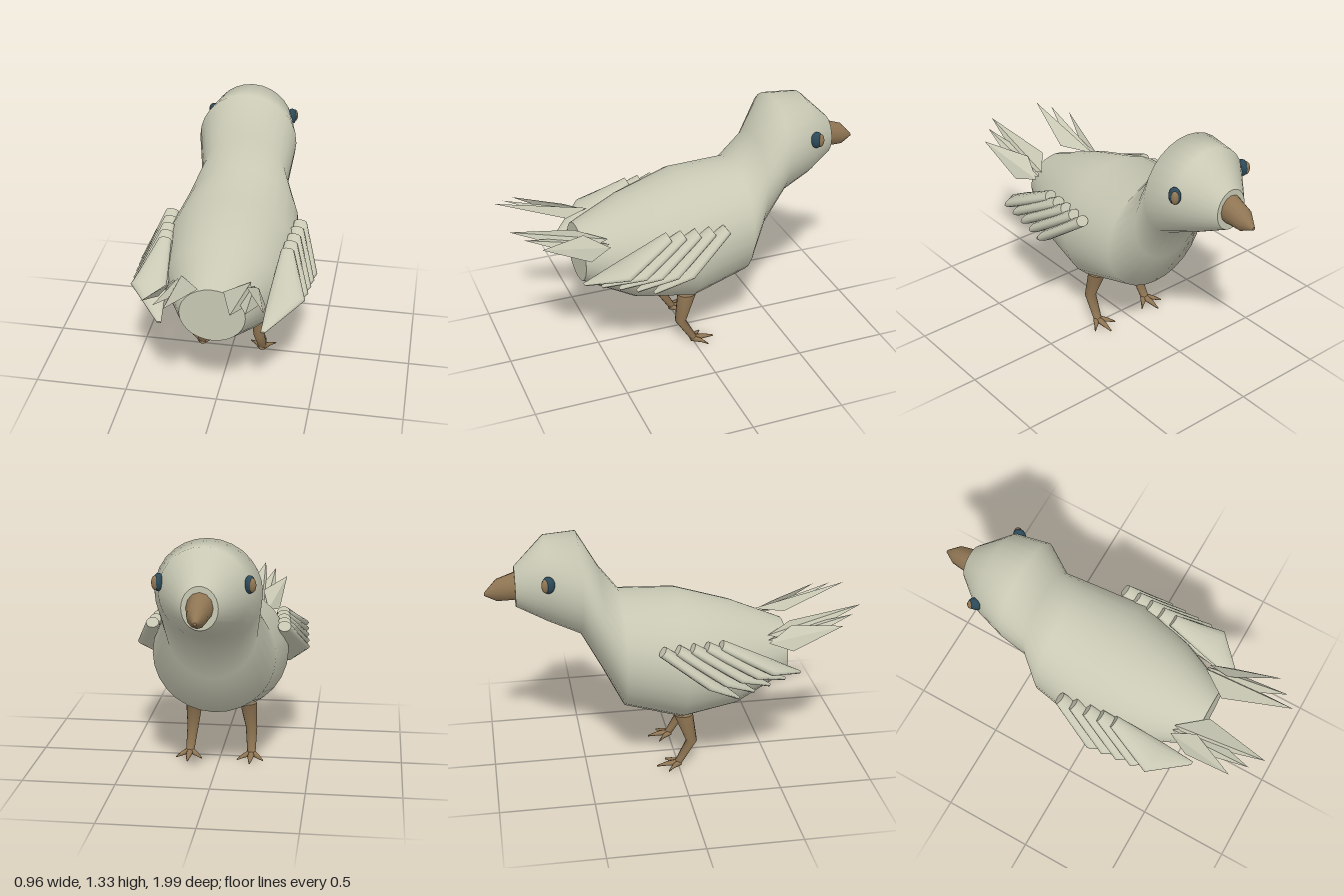
import * as THREE from 'three';

const paint = (name, color) => {
  const m = new THREE.MeshStandardMaterial({ color });
  m.name = name;
  return m;
};

// Smooth skin through elliptical sections [x, y, z, radiusX, radiusV], with flat end caps.
// dir is the [y, z] heading of the part; every section is square to it.
function loft(sections, dir, sides) {
  const len = Math.hypot(dir[0], dir[1]);
  const vy = dir[1] / len, vz = -dir[0] / len;
  const pos = [], index = [];
  const ring = ([x, y, z, rx, rv]) => {
    const start = pos.length / 3;
    for (let i = 0; i < sides; i++) {
      const a = (i / sides) * Math.PI * 2;
      const v = Math.sin(a) * rv;
      pos.push(x + Math.cos(a) * rx, y + vy * v, z + vz * v);
    }
    return start;
  };
  const starts = sections.map(ring);
  for (let k = 0; k < starts.length - 1; k++) {
    for (let i = 0; i < sides; i++) {
      const j = (i + 1) % sides, p = starts[k], q = starts[k + 1];
      index.push(p + i, p + j, q + j, p + i, q + j, q + i);
    }
  }
  // caps use their own rings so the rim stays sharp
  const first = ring(sections[0]), last = ring(sections[sections.length - 1]);
  for (let i = 1; i < sides - 1; i++) {
    index.push(first, first + i + 1, first + i, last, last + i, last + i + 1);
  }
  const g = new THREE.BufferGeometry();
  g.setAttribute('position', new THREE.Float32BufferAttribute(pos, 3));
  g.setIndex(index);
  g.computeVertexNormals();
  return g;
}

// Flat pointed feather: root, inner corner, tip, outer corner
function kite(root, inner, tip, outer) {
  const g = new THREE.BufferGeometry();
  const pts = [root, inner, tip, root, tip, outer].flat();
  g.setAttribute('position', new THREE.Float32BufferAttribute(pts, 3));
  g.computeVertexNormals();
  return g;
}

export function createModel() {
  const model = new THREE.Group();
  model.name = 'bird';
  const plumage = paint('plumage', 0xc8c8b4);
  const horn = paint('horn brown', 0x8f7553);
  const eyeBlue = paint('eye dark blue', 0x2c4a5a);
  const tailPaint = paint('tail plumage', 0xc8c8b4);
  tailPaint.side = THREE.DoubleSide;

  const add = (parent, name, geometry, material) => {
    const mesh = new THREE.Mesh(geometry, material);
    mesh.name = name;
    parent.add(mesh);
    return mesh;
  };

  // Body, neck and head in one skin: z, top, bottom, half width
  const hull = [
    [-0.84, 1.168, 0.95, 0.09],
    [-0.68, 1.325, 0.87, 0.225],
    [-0.51, 1.335, 0.79, 0.273],
    [-0.4, 1.14, 0.575, 0.24],
    [-0.29, 0.992, 0.355, 0.325],
    [0.02, 0.975, 0.265, 0.37],
    [0.32, 0.885, 0.315, 0.3],
    [0.6, 0.768, 0.46, 0.172],
  ].map(([z, top, low, w]) => [0, (top + low) / 2, z, w, (top - low) / 2]);
  add(model, 'body', loft(hull, [0, 1], 28), plumage);

  // Beak, hooked slightly down
  add(model, 'beak', loft([
    [0, 1.025, -1, 0.008, 0.008],
    [0, 1.045, -0.935, 0.05, 0.06],
    [0, 1.065, -0.83, 0.068, 0.077],
  ], [0, 1], 12), horn);

  for (const side of [1, -1]) {
    const half = new THREE.Group();
    half.name = side > 0 ? 'leftSide' : 'rightSide';
    half.scale.x = side;
    model.add(half);

    // Eye with a brown iris on its outer front
    const eye = add(half, 'eye', new THREE.SphereGeometry(1, 16, 12), eyeBlue);
    eye.scale.set(0.028, 0.045, 0.035);
    eye.position.set(0.223, 1.145, -0.678);
    const iris = add(half, 'iris', new THREE.SphereGeometry(1, 14, 10), horn);
    iris.scale.set(0.02, 0.036, 0.02);
    iris.position.set(0.236, 1.145, -0.694);

    // Wing of five overlapping feathers, front to rear
    const wing = new THREE.Group();
    wing.name = 'wing';
    half.add(wing);
    for (let i = 0; i < 5; i++) {
      const rootZ = -0.115 + 0.078 * i, tipZ = 0.29 + 0.088 * i;
      const tipY = 0.49 + 0.02 * i, tipX = 0.355 - 0.022 * i;
      const at = (t, x, rx, rv) =>
        [x, 0.79 + (tipY - 0.79) * t, rootZ + (tipZ - rootZ) * t, rx, rv];
      add(wing, 'wingFeather', loft([
        at(0, 0.355 - 0.007 * i, 0.035, 0.03),
        at(0.58, 0.385 - 0.006 * i, 0.095, 0.03),
        at(1, tipX, 0.012, 0.008),
      ], [tipY - 0.79, tipZ - rootZ], 14), plumage);
    }

    // Tail fan of three pointed feathers
    const tail = new THREE.Group();
    tail.name = 'tailFan';
    half.add(tail);
    add(tail, 'tailFeather', kite(
      [0.18, 0.76, 0.48], [0.065, 0.785, 0.63], [0.16, 0.895, 0.99], [0.21, 0.73, 0.62]), tailPaint);
    add(tail, 'tailFeather', kite(
      [0.2, 0.74, 0.48], [0.12, 0.77, 0.63], [0.225, 0.87, 0.93], [0.25, 0.715, 0.6]), tailPaint);
    add(tail, 'tailFeather', kite(
      [0.22, 0.73, 0.48], [0.18, 0.81, 0.61], [0.3, 0.84, 0.86], [0.275, 0.7, 0.6]), tailPaint);

    // Bent leg
    add(half, 'leg', loft([
      [0.15, 0.31, 0.03, 0.047, 0.053],
      [0.165, 0.15, 0.073, 0.032, 0.03],
      [0.172, 0.025, 0.0, 0.023, 0.022],
    ], [-1, 0], 12), horn);

    // Three forward toes
    for (const [x, z] of [[0.1, -0.065], [0.172, -0.12], [0.24, -0.065]]) {
      add(half, 'toe', loft([
        [0.172, 0.022, 0.015, 0.02, 0.018],
        [(x + 0.172) / 2, 0.018, z / 2, 0.016, 0.012],
        [x, 0.007, z, 0.004, 0.004],
      ], [0, -1], 8), horn);
    }
  }
  return model;
}
